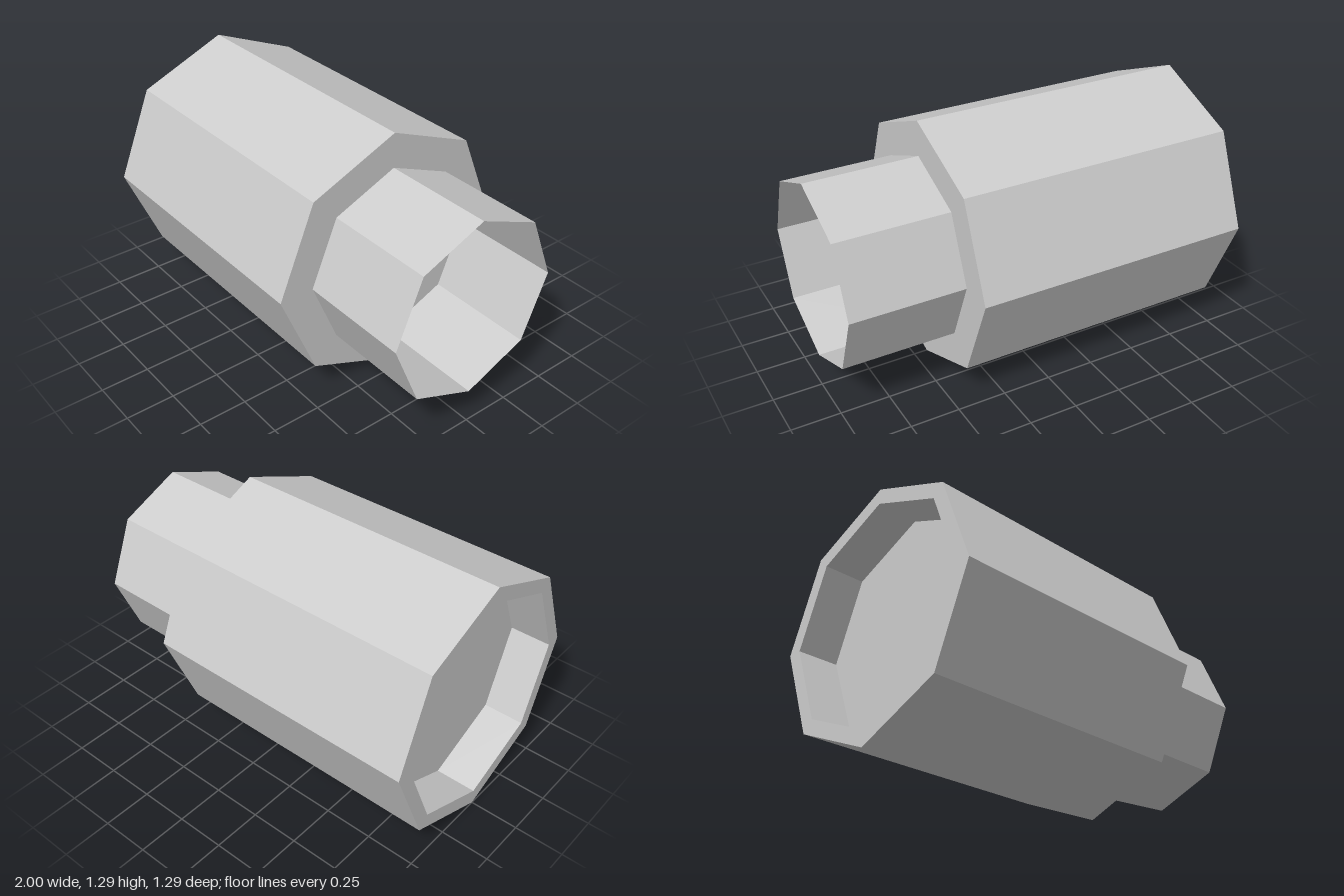
import * as THREE from 'three';

const SIDES = 8;
const AXIS_Y = 0.645;

export function createModel() {
  const model = new THREE.Group();
  model.name = 'octagonalCoupling';

  const grey = new THREE.MeshStandardMaterial({
    color: 0xcccccc, flatShading: true, side: THREE.DoubleSide,
  });
  grey.name = 'grey';

  // Revolves a [radius, x] profile around the horizontal axis with faceted sides
  function addTurned(name, profile) {
    const points = profile.map(([r, x]) => new THREE.Vector2(r, x));
    const geometry = new THREE.LatheGeometry(points, SIDES).toNonIndexed();
    geometry.rotateZ(-Math.PI / 2);
    geometry.computeVertexNormals();
    const mesh = new THREE.Mesh(geometry, grey);
    mesh.name = name;
    mesh.position.y = AXIS_Y;
    model.add(mesh);
  }

  // Wide body: shallow recess at the -x end, closed face at the +x end
  addTurned('body', [
    [0, -0.79], [0.565, -0.79], [0.565, -1],
    [0.645, -1], [0.645, 0.43], [0, 0.43],
  ]);

  // Narrow open sleeve with a thin wall
  addTurned('sleeve', [[0.467, 0.43], [0.467, 1]]);

  return model;
}
